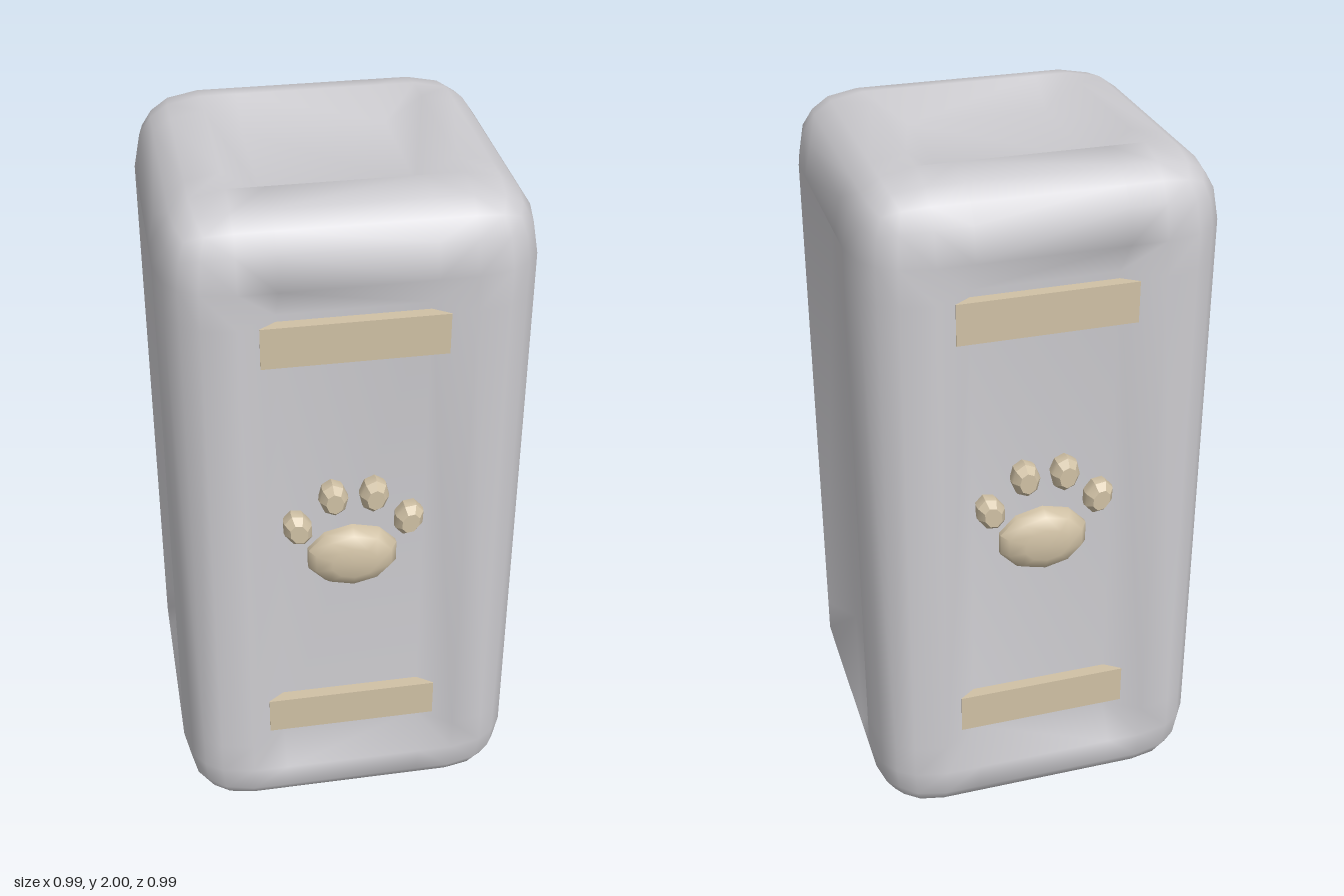
import * as THREE from 'three';
import { mergeVertices, toCreasedNormals } from 'three/addons/utils/BufferGeometryUtils.js';

const HALF = [0.493, 1, 0.493]; // half sizes of the block
const ROUND = 0.193;            // edge rounding
const WALL = 0.1;               // width of the sloping recess wall
const DEPTH = 0.07;             // depth of the recessed panels

// Rounded block with a sunken panel on each of its six faces
function blockGeometry() {
  const positions = [], index = [];
  const core = HALF.map(h => h - ROUND);
  const lines = core.map(c => {
    const half = [c - WALL, c, c + 0.53 * ROUND, c + ROUND];
    return [...half.map(v => -v).reverse(), ...half];
  });
  for (let n = 0; n < 3; n++) for (const sign of [1, -1]) {
    const u = (n + 1) % 3, v = (n + 2) % 3, base = positions.length / 3;
    for (let j = 0; j < 8; j++) for (let i = 0; i < 8; i++) {
      const p = [0, 0, 0];
      p[n] = sign * HALF[n]; p[u] = lines[u][i]; p[v] = lines[v][j];
      // pull the outer grid onto the rounded edges and corners
      const inner = p.map((x, k) => THREE.MathUtils.clamp(x, -core[k], core[k]));
      const d = p.map((x, k) => x - inner[k]);
      const len = Math.pow(d.reduce((s, x) => s + Math.pow(Math.abs(x), 2.2), 0), 1 / 2.2);
      const q = inner.map((x, k) => x + d[k] * ROUND / len);
      if ((i === 3 || i === 4) && (j === 3 || j === 4)) q[n] -= sign * DEPTH;
      positions.push(...q);
    }
    for (let j = 0; j < 7; j++) for (let i = 0; i < 7; i++) {
      const a = base + j * 8 + i, b = a + 1, c = a + 9, e = a + 8;
      // diagonals run outward from the centre so the corners are mitred
      const tris = (i < 3.5) === (j < 3.5) ? [[a, b, c], [a, c, e]] : [[a, b, e], [b, c, e]];
      for (const t of tris) index.push(...(sign > 0 ? t : t.reverse()));
    }
  }
  const g = new THREE.BufferGeometry();
  g.setAttribute('position', new THREE.Float32BufferAttribute(positions, 3));
  g.setIndex(index);
  const merged = mergeVertices(g, 1e-4);
  merged.computeVertexNormals();
  return merged;
}

// Faceted button facing +z from a (radius, height) profile
function button(profile, sides, w, h, crease) {
  const g = new THREE.LatheGeometry(profile.map(([r, y]) => new THREE.Vector2(r, y)), sides);
  g.rotateX(Math.PI / 2);
  g.scale(w, h, 1);
  return toCreasedNormals(g, crease);
}

export function createModel() {
  const model = new THREE.Group();
  const grey = new THREE.MeshStandardMaterial({ color: 0xcdccd0 });
  grey.name = 'lightGrey';
  const tan = new THREE.MeshStandardMaterial({ color: 0xd0c1a5 });
  tan.name = 'tan';

  const add = (parent, name, geometry, material, x, y, z) => {
    const mesh = new THREE.Mesh(geometry, material);
    mesh.name = name;
    mesh.position.set(x, y, z);
    parent.add(mesh);
    return mesh;
  };

  add(model, 'block', blockGeometry(), grey, 0, 1, 0);

  const floor = HALF[2] - DEPTH;
  const barGeo = new THREE.BoxGeometry(0.49, 0.116, 0.06);
  const padGeo = button([[1, -0.02], [1, 0.015], [0.85, 0.04], [0.5, 0.055], [0, 0.057]], 10, 0.13, 0.097, 0.8);
  // flatten the underside of the pad
  const pos = padGeo.attributes.position;
  for (let i = 0; i < pos.count; i++) pos.setY(i, Math.max(pos.getY(i), -0.09));
  const toeGeo = button([[0.8, -0.02], [1, 0.02], [0.95, 0.035], [0.6, 0.055], [0, 0.055]], 8, 0.041, 0.053, 0.5);

  // Matching decoration on the front and back panels
  for (const [name, turn] of [['frontPanel', 0], ['backPanel', Math.PI]]) {
    const panel = new THREE.Group();
    panel.name = name;
    panel.rotation.y = turn;
    add(panel, 'upperBar', barGeo, tan, 0, 1.63, 0.427);
    add(panel, 'lowerBar', barGeo, tan, 0, 0.374, 0.427);
    add(panel, 'pawPad', padGeo, tan, 0, 0.933, floor);
    for (const side of [-1, 1]) {
      add(panel, 'innerToe', toeGeo, tan, side * 0.056, 1.142, floor).rotation.z = side * -0.08;
      add(panel, 'outerToe', toeGeo, tan, side * 0.154, 1.052, floor).rotation.z = side * -0.35;
    }
    model.add(panel);
  }
  return model;
}
